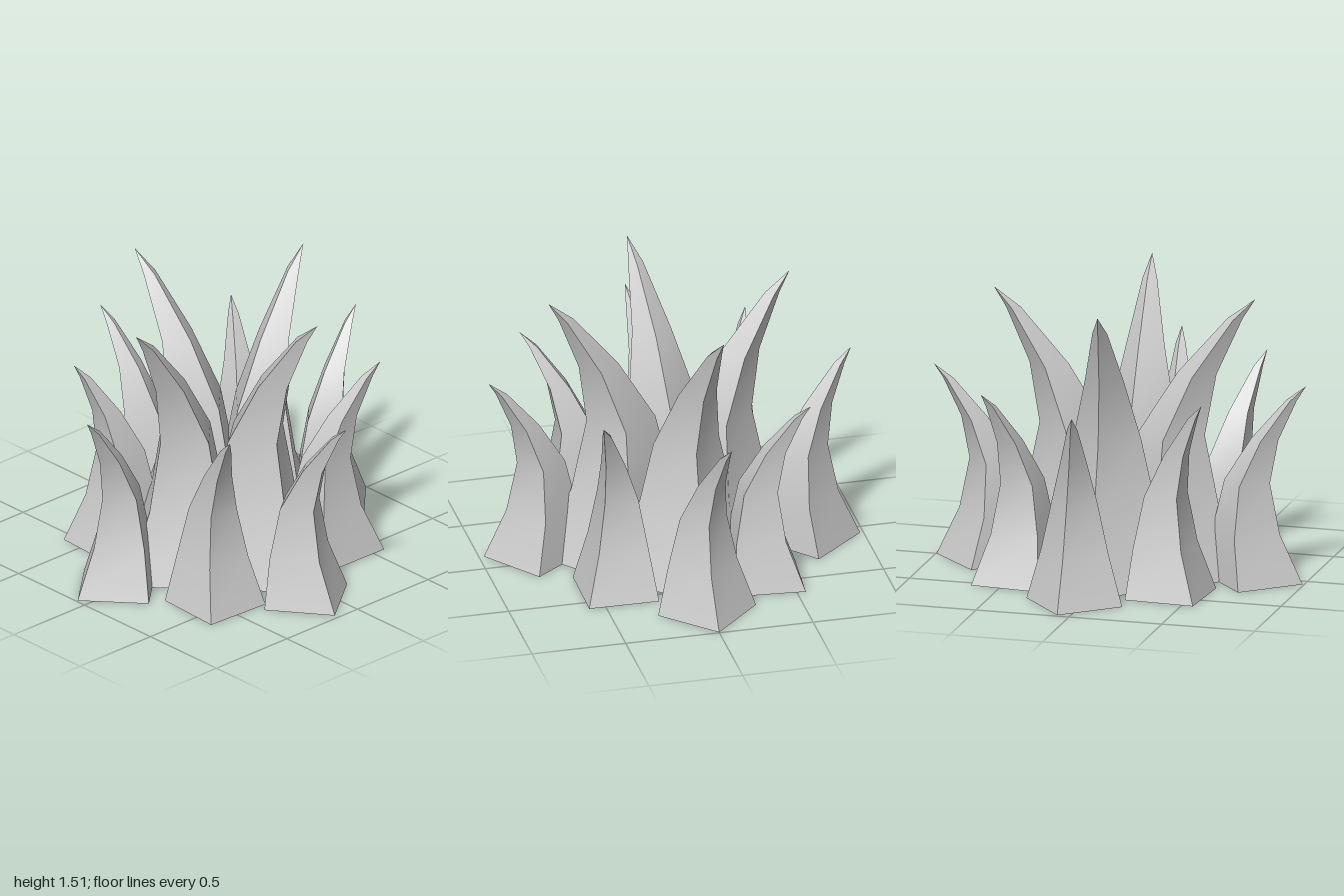
import * as THREE from 'three';

// Blade stations: height, how far along the lean, half diagonal of the square section
const STATIONS = [
  [0, 0, 0.262],
  [0.26, -0.17, 0.185],
  [0.53, -0.15, 0.125],
  [0.76, 0.2, 0.073],
  [0.97, 0.72, 0.028],
  [1.045, 1, 0],
];

// Four-sided curved blade: smooth along its height, sharp at its four corners
function bladeGeometry(base, tip, height) {
  const scale = height / 1.045;
  const [bx, bz] = base;
  const [tx, tz] = tip;
  const facing = Math.atan2(bz, bx); // one corner points outward
  const corner = (row, k) => {
    const [h, lean, half] = STATIONS[row];
    const a = facing + (k * Math.PI) / 2;
    return [
      bx + (tx - bx) * lean + Math.cos(a) * half * scale,
      h * scale,
      bz + (tz - bz) * lean + Math.sin(a) * half * scale,
    ];
  };

  const positions = [];
  const index = [];
  const last = STATIONS.length - 1;
  for (let side = 0; side < 4; side++) {
    const start = positions.length / 3;
    for (let row = 0; row <= last; row++) {
      positions.push(...corner(row, side), ...corner(row, side + 1));
    }
    for (let row = 0; row < last; row++) {
      const i = start + row * 2;
      index.push(i, i + 2, i + 1);
      if (row < last - 1) index.push(i + 1, i + 2, i + 3);
    }
  }
  // Flat underside
  const cap = positions.length / 3;
  for (let k = 0; k < 4; k++) positions.push(...corner(0, k));
  index.push(cap, cap + 1, cap + 2, cap, cap + 2, cap + 3);

  const geometry = new THREE.BufferGeometry();
  geometry.setAttribute('position', new THREE.Float32BufferAttribute(positions, 3));
  geometry.setIndex(index);
  geometry.computeVertexNormals();
  return geometry;
}

export function createModel() {
  const model = new THREE.Group();
  model.name = 'grassTuft';
  const material = new THREE.MeshStandardMaterial({ color: 0xcccccc });

  // Each blade: base [x, z], tip [x, z], height
  const outer = [
    [[-0.045, 0.73], [0.01, 0.99], 1.045],
    [[0.44, 0.485], [0.67, 0.595], 1.04],
    [[0.715, 0.1], [0.97, 0.05], 1.045],
    [[0.4, -0.39], [0.52, -0.61], 1.05],
    [[0.0, -0.735], [-0.07, -0.99], 1.04],
    [[-0.38, -0.455], [-0.59, -0.59], 1.04],
    [[-0.72, -0.05], [-0.95, 0.0], 1.05],
    [[-0.43, 0.385], [-0.53, 0.58], 1.05],
  ];
  const inner = [
    [[0.0, 0.33], [0.07, 0.7], 1.475],
    [[0.32, 0.03], [0.67, -0.025], 1.51],
    [[-0.02, -0.31], [-0.11, -0.655], 1.49],
    [[-0.29, 0.0], [-0.635, 0.05], 1.51],
  ];

  for (const [name, blades] of [['outerBlade', outer], ['innerBlade', inner]]) {
    blades.forEach(([base, tip, height], i) => {
      const blade = new THREE.Mesh(bladeGeometry(base, tip, height), material);
      blade.name = `${name}${i + 1}`;
      model.add(blade);
    });
  }
  return model;
}
